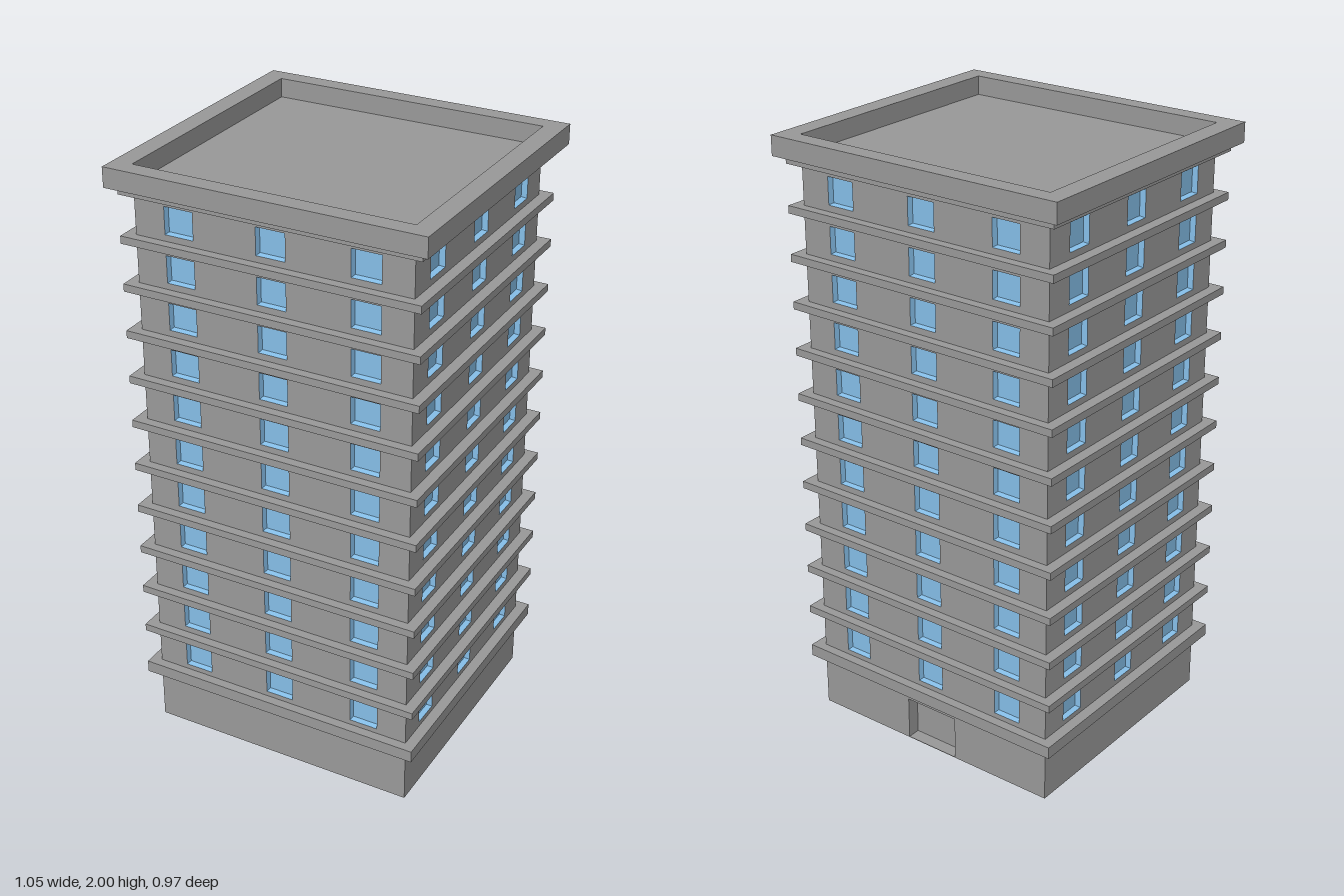
import * as THREE from 'three';

const HX = 0.46, HZ = 0.428;            // half size of the tower body
const FLOORS = 11, PITCH = 0.1557;      // storeys above the ground floor
const FIRST = 0.287;                    // height of the first window row's centre
const RECESS = 0.02;                    // window depth
const GROUND = 0.2, ROOF = 1.937;

const grey = new THREE.MeshStandardMaterial({ color: 0x9a9a9a });
const glass = new THREE.MeshStandardMaterial({ color: 0x86bfe9 });

function box(name, hx, hz, y0, y1) {
  const mesh = new THREE.Mesh(new THREE.BoxGeometry(hx * 2, y1 - y0, hz * 2), grey);
  mesh.name = name;
  mesh.position.y = (y0 + y1) / 2;
  return mesh;
}

// Closed rectangle path, centred on (x, y)
function rect(path, x, y, w, h) {
  path.moveTo(x - w / 2, y - h / 2);
  path.lineTo(x + w / 2, y - h / 2);
  path.lineTo(x + w / 2, y + h / 2);
  path.lineTo(x - w / 2, y + h / 2);
  path.closePath();
  return path;
}

// Shallow four-sided tray facing +z: a set-back pane with slightly tapered reveals
function windowGeometry(w, h) {
  const depth = RECESS - 0.002, r = Math.SQRT2;
  const profile = [[r, 0], [r * 0.92, -depth], [0, -depth]].map(([x, y]) => new THREE.Vector2(x, y));
  const geo = new THREE.LatheGeometry(profile, 4).toNonIndexed();
  geo.rotateY(Math.PI / 4).rotateX(Math.PI / 2).scale(w / 2, h / 2, 1);
  geo.computeVertexNormals();
  return geo;
}

// One upper facade facing +z: a wall pierced by recessed windows
function facade(name, halfWidth, reach, spacing, winW) {
  const group = new THREE.Group();
  group.name = name;
  const winH = 0.089;
  const wall = rect(new THREE.Shape(), 0, (GROUND + ROOF) / 2, halfWidth * 2, ROOF - GROUND);
  const winGeo = windowGeometry(winW, winH);
  for (let f = 0; f < FLOORS; f++) {
    for (const c of [-1, 0, 1]) {
      const x = c * spacing, y = FIRST + f * PITCH;
      wall.holes.push(rect(new THREE.Path(), x, y, winW, winH));
      const pane = new THREE.Mesh(winGeo, glass);
      pane.name = 'window';
      pane.position.set(x, y, reach);
      group.add(pane);
    }
  }
  const mesh = new THREE.Mesh(
    new THREE.ExtrudeGeometry(wall, { depth: RECESS, bevelEnabled: false }), grey);
  mesh.name = 'wall';
  mesh.position.z = reach - RECESS;
  group.add(mesh);
  return group;
}

// Ground floor with a doorway recess in the middle of the back side
function groundFloor() {
  const group = new THREE.Group();
  group.name = 'groundFloor';
  const doorHalf = 0.097, doorDepth = 0.044, doorTop = 0.15, slab = 0.002;
  // Footprint drawn with shape y = -z, so the back lies at +HZ
  const plan = new THREE.Shape([
    [-HX, -HZ], [HX, -HZ], [HX, HZ],
    [doorHalf, HZ], [doorHalf, HZ - doorDepth],
    [-doorHalf, HZ - doorDepth], [-doorHalf, HZ], [-HX, HZ],
  ].map(([x, y]) => new THREE.Vector2(x, y)));
  const geo = new THREE.ExtrudeGeometry(plan, { depth: doorTop - slab, bevelEnabled: false });
  geo.rotateX(-Math.PI / 2).translate(0, slab, 0);
  const walls = new THREE.Mesh(geo, grey);
  walls.name = 'doorwayWalls';
  group.add(walls, box('floorSlab', HX, HZ, 0, slab), box('lintelBand', HX, HZ, doorTop, GROUND));
  return group;
}

// Overhanging cornice whose ring forms the roof parapet
function parapet() {
  const ring = rect(new THREE.Shape(), 0, 0, 1.05, 0.974);
  ring.holes.push(rect(new THREE.Path(), 0, 0, HX * 2, HZ * 2));
  const geo = new THREE.ExtrudeGeometry(ring, { depth: 2 - 1.935, bevelEnabled: false });
  geo.rotateX(-Math.PI / 2).translate(0, 1.935, 0);
  const mesh = new THREE.Mesh(geo, grey);
  mesh.name = 'parapet';
  return mesh;
}

export function createModel() {
  const model = new THREE.Group();
  model.name = 'towerBlock';

  model.add(groundFloor());
  model.add(box('core', HX - RECESS, HZ - RECESS, GROUND, ROOF));

  // Facades: front and back run full width, the sides fit between them
  const sides = ['frontFacade', 'leftFacade', 'backFacade', 'rightFacade'];
  sides.forEach((name, i) => {
    const f = i % 2 === 0
      ? facade(name, HX, HZ, 0.309, 0.097)
      : facade(name, HZ - RECESS, HX, 0.286, 0.093);
    f.rotation.y = i * Math.PI / 2;
    model.add(f);
  });

  // Ledges between storeys, a thicker one over the ground floor
  const lx = 0.496, lz = 0.459;
  model.add(box('groundLedge', lx, lz, 0.184, 0.225));
  for (let i = 0; i < FLOORS - 1; i++) {
    const y = 0.365 + i * PITCH;
    model.add(box('storeyLedge', lx, lz, y - 0.0125, y + 0.0125));
  }
  model.add(box('topLedge', lx, lz, 1.91, 1.938));

  model.add(parapet());
  return model;
}
